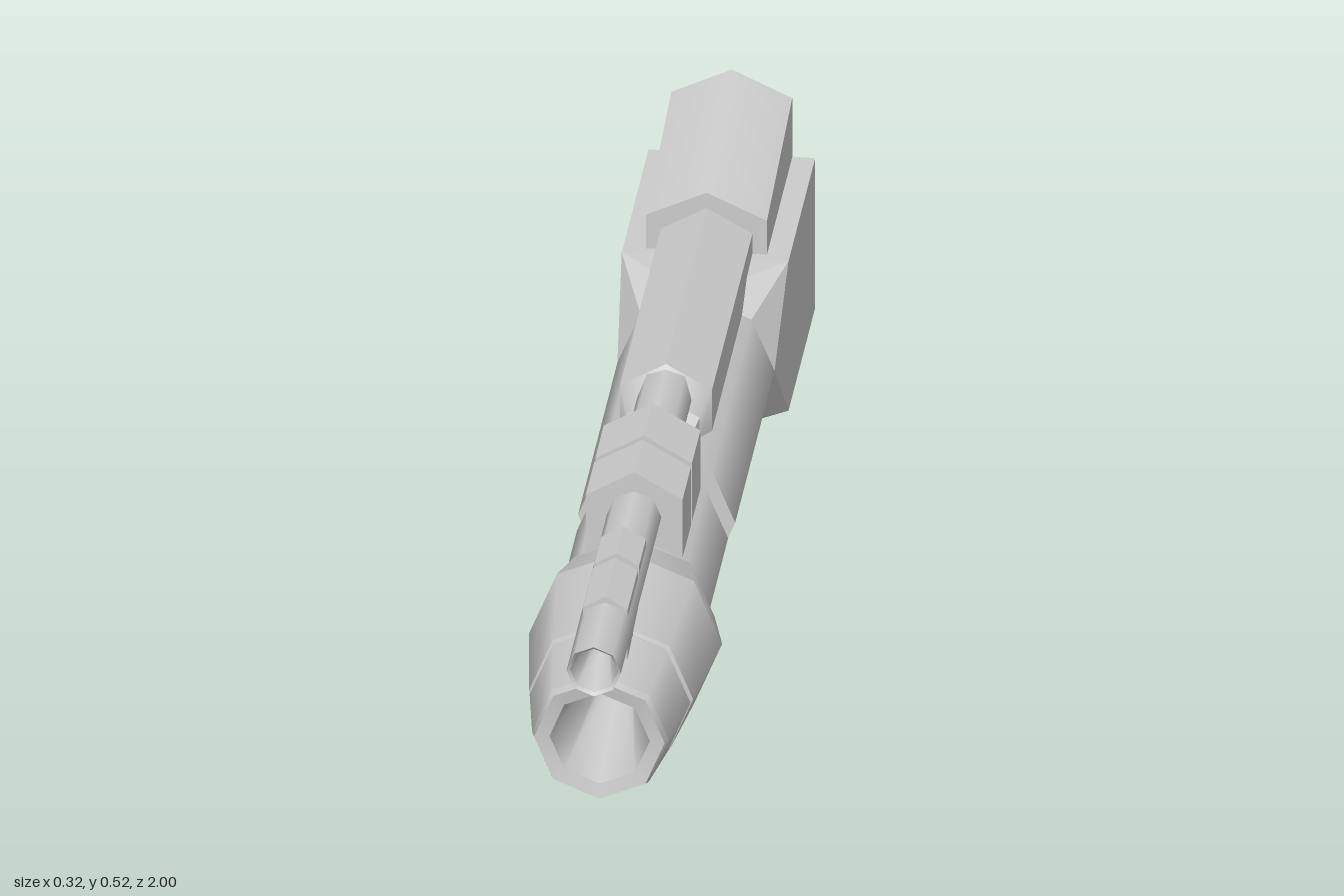
import * as THREE from 'three';
import { mergeGeometries, toCreasedNormals } from 'three/addons/utils/BufferGeometryUtils.js';

const AXIS_Y = 0.228;
const material = new THREE.MeshStandardMaterial({ color: 0xcccccc, side: THREE.DoubleSide });

// Skin a run of cross-sections; each band is smoothed around but stays sharp lengthwise.
function loft(sections, closed, crease) {
  const bands = [];
  for (let s = 0; s < sections.length - 1; s++) {
    const front = sections[s], back = sections[s + 1], n = front.length;
    const pos = [];
    const tri = (a, b, c) => {
      const area = b.clone().sub(a).cross(c.clone().sub(a)).length();
      if (area > 1e-7) for (const p of [a, b, c]) pos.push(p.x, p.y, p.z);
    };
    for (let k = 0; k < (closed ? n : n - 1); k++) {
      const a = front[k], b = front[(k + 1) % n], c = back[k], d = back[(k + 1) % n];
      if (k % 2 === 0) { tri(a, c, d); tri(a, d, b); } else { tri(a, c, b); tri(b, c, d); }
    }
    const g = new THREE.BufferGeometry();
    g.setAttribute('position', new THREE.Float32BufferAttribute(pos, 3));
    g.computeVertexNormals();
    bands.push(toCreasedNormals(g, crease));
  }
  return mergeGeometries(bands);
}

// Octagon with corners on the axes.
function octagon(r, z, y = AXIS_Y) {
  return Array.from({ length: 8 }, (_, k) => {
    const t = k * Math.PI / 4;
    return new THREE.Vector3(r * Math.cos(t), y + r * Math.sin(t), z);
  });
}

// Rectangle with eight points, matching the octagon's order.
function rectangle(w, y0, y1, z) {
  const m = (y0 + y1) / 2;
  return [[w, m], [w, y1], [0, y1], [-w, y1], [-w, m], [-w, y0], [0, y0], [w, y0]]
    .map(([x, y]) => new THREE.Vector3(x, y, z));
}

// Gabled section: walls from base to shoulder, then slopes to the ridge (works upside down too).
function gable(w, base, shoulder, ridge, z) {
  const s = ridge > base ? 1 : -1;
  return [[w * s, base], [w * s, shoulder], [0, ridge], [-w * s, shoulder], [-w * s, base]]
    .map(([x, y]) => new THREE.Vector3(x, y, z));
}
const gableCap = (base, z) => gable(0, base, base, base, z).map((p) => p.setY(base));

export function createModel() {
  const model = new THREE.Group();
  const add = (name, sections, closed = true, crease = 1) => {
    const mesh = new THREE.Mesh(loft(sections, closed, crease), material);
    mesh.name = name;
    model.add(mesh);
  };
  const turned = (name, profile, y) => add(name, profile.map(([r, z]) => octagon(r, z, y)));

  // Main muzzle with tapering bore
  turned('muzzle', [
    [0, 0.6], [0.02, 0.6], [0.083, 0.915], [0.108, 0.92], [0.113, 0.905], [0.133, 0.768],
    [0.129, 0.764], [0.129, 0.758], [0.136, 0.755], [0.16, 0.548], [0.136, 0.45], [0.08, 0.45],
  ]);
  // Barrel core, sleeve and body
  turned('barrelCore', [[0.1, 0.5], [0.1, 0.05]]);
  turned('barrelSleeve', [[0.09, 0.43], [0.125, 0.43], [0.125, 0.163], [0.09, 0.163]]);
  turned('body', [[0.09, 0.105], [0.13, 0.105], [0.13, -0.455]]);

  // Body flares into a square housing, open at the back
  add('rearHousing', [
    octagon(0.13, -0.455), rectangle(0.138, 0.09, 0.365, -0.585), rectangle(0.138, 0.09, 0.365, -0.965),
  ], true, 0.1);

  // Keel under the barrel, widening into an open channel at the back
  add('keel', [
    gableCap(0.15, 0.66),
    gable(0.065, 0.15, 0.12, 0.086, 0.66),
    gable(0.065, 0.15, 0.078, 0.04, 0.52),
    gable(0.065, 0.15, 0.078, 0.04, -0.36),
    gable(0.08, 0.14, 0.047, 0.002, -0.41),
    gable(0.08, 0.14, 0.047, 0.002, -1),
  ], false);

  // Upper spine with a sloped nose
  add('spine', [
    gableCap(0.32, 0.07),
    gable(0.04, 0.32, 0.33, 0.345, 0.07),
    gable(0.06, 0.32, 0.37, 0.4, 0.01),
    gable(0.076, 0.32, 0.402, 0.445, -0.03),
    gable(0.076, 0.32, 0.402, 0.445, -0.62),
  ], false);

  // Rear fairing, open at the back
  add('rearFairing', [
    gableCap(0.34, -0.605),
    gable(0.1, 0.34, 0.427, 0.473, -0.605),
    gable(0.1, 0.34, 0.473, 0.52, -0.965),
  ], false);

  // Secondary barrel
  turned('upperBarrel', [
    [0, 0.88], [0.018, 0.89], [0.04, 0.995], [0.045, 1], [0.045, -0.1],
  ], 0.393);

  // Gabled clamps and brackets holding the secondary barrel
  const holder = (name, w, base, shoulder, ridge, z0, z1) => add(name, [
    gableCap(base, z0), gable(w, base, shoulder, ridge, z0),
    gable(w, base, shoulder, ridge, z1), gableCap(base, z1),
  ], false);
  holder('frontClamp', 0.08, 0.3, 0.427, 0.473, 0.425, 0.305);
  holder('rearClamp', 0.08, 0.3, 0.427, 0.473, 0.29, 0.17);
  holder('frontBracket', 0.037, 0.3, 0.427, 0.449, 0.835, 0.69);
  holder('rearBracket', 0.037, 0.3, 0.427, 0.449, 0.675, 0.575);

  return model;
}
